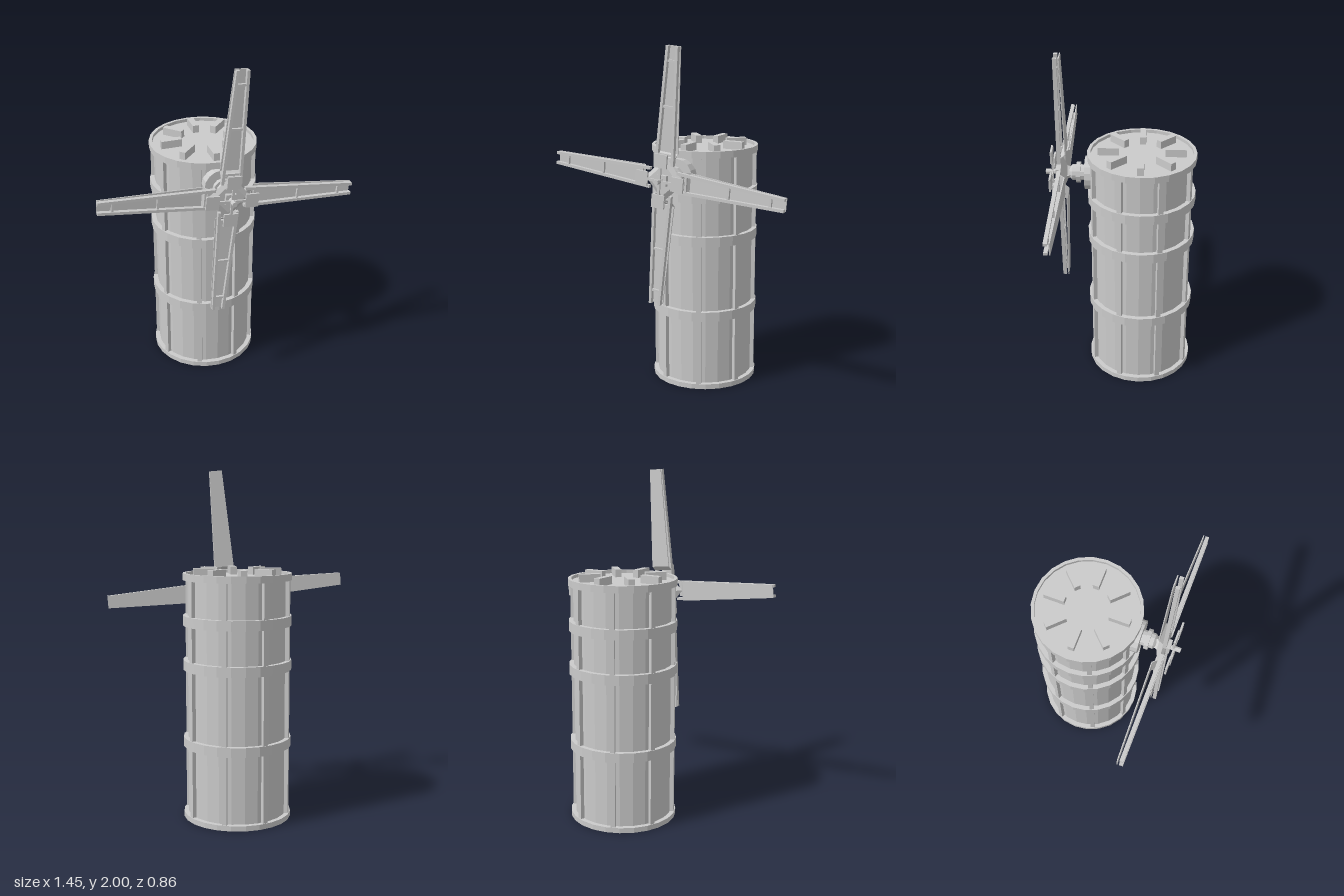
import * as THREE from 'three';

const mat = new THREE.MeshStandardMaterial({ color: 0xcccccc, flatShading: true, side: THREE.DoubleSide });
const SIDES = 24, HUB_Y = 1.275, TOWER_Z = -0.12;

function add(parent, name, geo, x = 0, y = 0, z = 0) {
  const m = new THREE.Mesh(geo, mat);
  m.name = name;
  m.position.set(x, y, z);
  parent.add(m);
  return m;
}

// Solid of revolution along +z, from [radius, z] pairs
function turned(points, sides) {
  const g = new THREE.LatheGeometry(points.map(([r, z]) => new THREE.Vector2(r, z)), sides);
  return g.rotateX(Math.PI / 2);
}

// Flat polygon with thickness, its back at z
function plate(points, z, depth) {
  const shape = new THREE.Shape(points.map(([x, y]) => new THREE.Vector2(x, y)));
  return new THREE.ExtrudeGeometry(shape, { depth, bevelEnabled: false }).translate(0, 0, z);
}

const TIP = 0.725, ROOT = 0.085;
const halfWidth = r => THREE.MathUtils.mapLinear(r, 0.1, TIP, 0.059, 0.037);

function makeBlade() {
  const blade = new THREE.Group();
  blade.name = 'blade';
  // Two tapering rails
  const rail = 0.016;
  for (const s of [-1, 1]) {
    const a = halfWidth(ROOT), b = halfWidth(TIP);
    add(blade, 'bladeRail', plate([[s * (a - rail), ROOT], [s * a, ROOT], [s * b, TIP], [s * (b - rail), TIP]], 0.333, 0.022));
  }
  // Rungs between the rails
  for (const r of [0.14, 0.4, 0.645]) {
    add(blade, 'bladeRung', new THREE.BoxGeometry(2 * halfWidth(r) - 0.01, 0.012, 0.014), 0, r, 0.342);
  }
  // Thin sail, bent back at the root and closing on the rails at the tip
  const rows = [[0.125, 0.333], [0.148, 0.307], [0.42, 0.314], [TIP, 0.322]];
  const sail = new THREE.BoxGeometry(2, 3, 0.006, 1, 3, 1);
  const p = sail.attributes.position;
  for (let i = 0; i < p.count; i++) {
    const [r, z] = rows[Math.round(p.getY(i) + 1.5)];
    p.setXYZ(i, p.getX(i) * halfWidth(r), r, z + p.getZ(i));
  }
  sail.computeVertexNormals();
  add(blade, 'bladeSail', sail);
  return blade;
}

export function createModel() {
  const model = new THREE.Group();
  model.name = 'windTower';

  // Tower with its bands, ribs, rim and roof vents
  const tower = new THREE.Group();
  tower.name = 'tower';
  tower.position.z = TOWER_Z;
  model.add(tower);
  add(tower, 'towerBody', new THREE.CylinderGeometry(0.283, 0.283, 1.395, SIDES), 0, 0.6975, 0);

  for (const [y0, y1] of [[0, 0.03], [0.42, 0.475], [0.865, 0.922], [1.118, 1.175]]) {
    add(tower, 'band', new THREE.CylinderGeometry(0.31, 0.31, y1 - y0, SIDES), 0, (y0 + y1) / 2, 0);
  }
  const rim = [[0.27, 1.375], [0.31, 1.375], [0.31, 1.414], [0.292, 1.414], [0.292, 1.395], [0.27, 1.395]];
  add(tower, 'rim', new THREE.LatheGeometry(rim.map(([r, y]) => new THREE.Vector2(r, y)), SIDES));

  for (let i = 0; i < 8; i++) {
    const spoke = new THREE.Group();
    spoke.name = 'towerSpoke';
    spoke.rotation.y = i * Math.PI / 4;
    tower.add(spoke);
    add(spoke, 'roofVent', new THREE.BoxGeometry(0.036, 0.05, 0.12), 0, 1.415, 0.19);
    const rib = new THREE.Group();
    rib.name = 'ribMount';
    rib.rotation.y = Math.PI / 8;
    spoke.add(rib);
    add(rib, 'rib', new THREE.BoxGeometry(0.028, 1.37, 0.04), 0, 0.695, 0.283);
  }

  // Rotor bearing: round base, shaft and collar
  const mount = new THREE.Group();
  mount.name = 'rotorMount';
  mount.position.y = HUB_Y;
  model.add(mount);
  add(mount, 'mountBase', turned([[0, 0.12], [0.095, 0.12], [0.095, 0.203], [0, 0.203]], 16));
  add(mount, 'shaft', turned([[0.045, 0.2], [0.045, 0.275], [0.03, 0.29], [0, 0.29]], 12));
  add(mount, 'collar', turned([[0.04, 0.228], [0.06, 0.228], [0.06, 0.252], [0.04, 0.252]], 12));

  // Rotor, leaning slightly clockwise
  const rotor = new THREE.Group();
  rotor.name = 'rotor';
  rotor.position.y = HUB_Y;
  rotor.rotation.z = THREE.MathUtils.degToRad(-5);
  model.add(rotor);
  add(rotor, 'hubFlare', turned([[0.035, 0.28], [0.045, 0.302], [0.125, 0.334], [0.09, 0.35], [0, 0.35]], 4));
  add(rotor, 'hubBoss', new THREE.BoxGeometry(0.06, 0.06, 0.03), 0, 0, 0.355);
  add(rotor, 'axle', turned([[0, 0.34], [0.015, 0.34], [0.015, 0.428], [0, 0.428]], 8));

  for (let i = 0; i < 4; i++) {
    const arm = new THREE.Group();
    arm.name = 'rotorArm';
    arm.rotation.z = i * Math.PI / 2;
    rotor.add(arm);
    arm.add(makeBlade());
    // Small front paddle on its rod
    add(arm, 'paddleRod', new THREE.BoxGeometry(0.014, 0.09, 0.01), 0, 0.045, 0.39);
    add(arm, 'paddle', new THREE.BoxGeometry(0.08, 0.075, 0.011), 0, 0.1125, 0.39);
  }
  return model;
}
